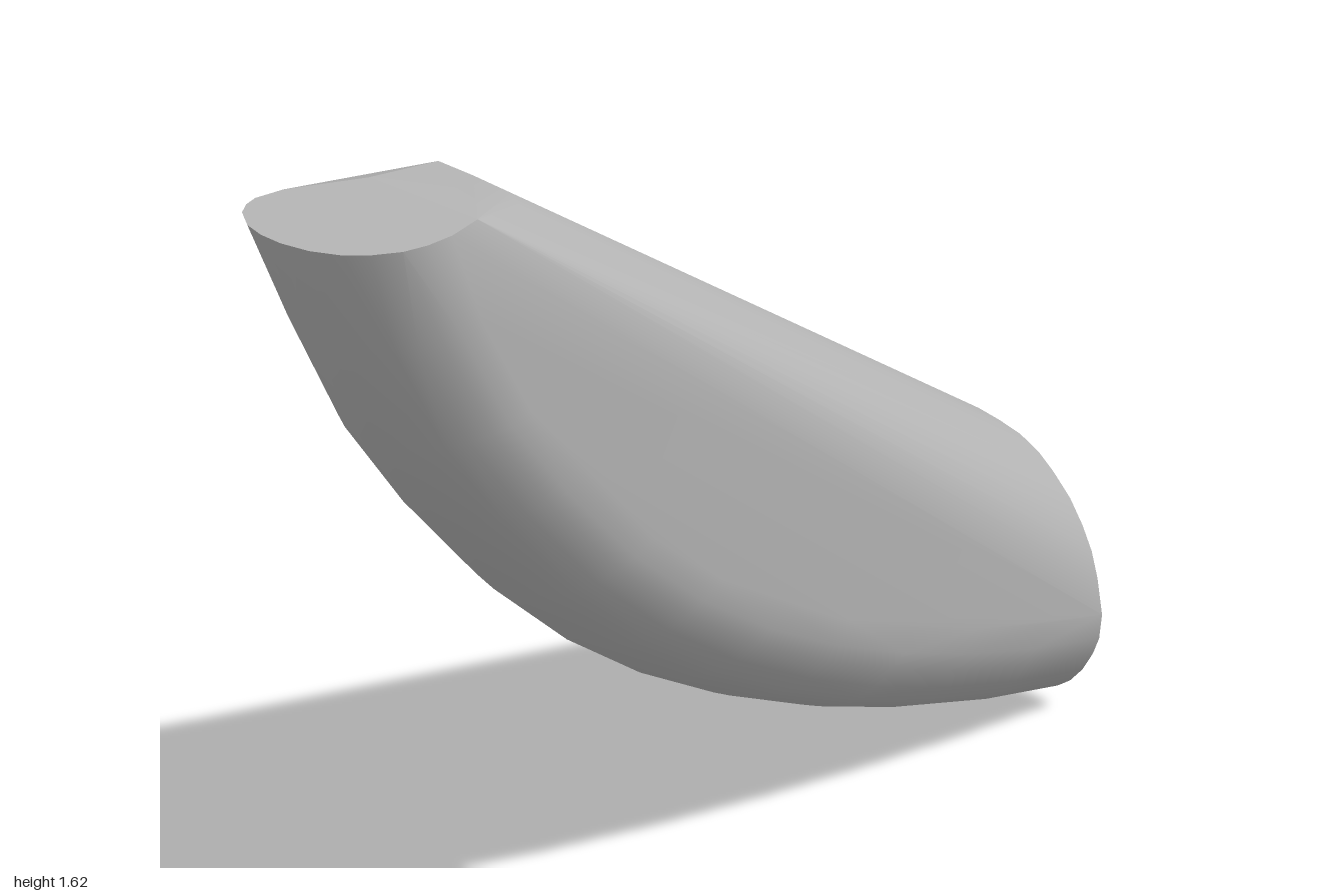
import * as THREE from 'three';
import { ConvexGeometry } from 'three/addons/geometries/ConvexGeometry.js';
import { toCreasedNormals } from 'three/addons/utils/BufferGeometryUtils.js';

// Flat end at x = 1, as [z, y]
const endProfile = [
  [-0.197, 0.535], [-0.1, 0.53], [-0.05, 0.522], [0, 0.51], [0.045, 0.488], [0.08, 0.46],
  [0.12, 0.42], [0.15, 0.375], [0.172, 0.33], [0.186, 0.28], [0.197, 0.21], [0.19, 0.16],
  [0.175, 0.125], [0.15, 0.085], [0.12, 0.053], [0.09, 0.033], [0.04, 0.014], [0, 0.005],
  [-0.05, 0], [-0.09, 0.016], [-0.13, 0.037], [-0.15, 0.06], [-0.17, 0.125], [-0.197, 0.33],
];

// Flat tip at y = 1.62, as [x, z]
const tipProfile = [
  [-1, -0.02], [-0.997, -0.07], [-0.983, -0.115], [-0.95, -0.157], [-0.92, -0.173], [-0.89, -0.178],
  [-0.83, -0.163], [-0.69, -0.08], [-0.69, 0.182], [-0.77, 0.192], [-0.83, 0.186], [-0.88, 0.17],
  [-0.93, 0.135], [-0.965, 0.095], [-0.99, 0.04],
];

// Upper rim where the long face meets the sloped tip facet, as [x, z] at y = 1.505
const rim = [[-0.38, -0.186], [-0.383, -0.1], [-0.395, 0], [-0.42, 0.045]];

// Curved underside from tip to end, as [x, y]
const keel = [
  [-0.9, 1.385], [-0.76, 1.13], [-0.6, 0.92], [-0.4, 0.7], [-0.2, 0.525],
  [0, 0.385], [0.2, 0.272], [0.4, 0.18], [0.6, 0.105], [0.8, 0.045],
];

// Rounded cross-section along the underside, as [depth, z]
const section = [
  [0, -0.035], [0.005, 0], [0.014, 0.04], [0.033, 0.09], [0.053, 0.12], [0.085, 0.15],
  [0.125, 0.175], [0.16, 0.19], [0.21, 0.197],
  [0.016, -0.09], [0.037, -0.13], [0.06, -0.15], [0.125, -0.17], [0.33, -0.197],
];

export function createModel() {
  const group = new THREE.Group();
  const points = [];
  const add = (x, y, z) => points.push(new THREE.Vector3(x, y, z));

  endProfile.forEach(([z, y]) => add(1, y, z));
  tipProfile.forEach(([x, z]) => add(x, 1.62, z));
  rim.forEach(([x, z]) => add(x, 1.505, z));

  // Sections turn from horizontal at the tip to vertical at the end
  keel.forEach(([x, y], i) => {
    const t = (i + 1) / (keel.length + 1);
    const angle = t * Math.PI / 2;
    const back = Math.min(1, 0.93 + 0.12 * t);
    section.forEach(([d, z]) => {
      add(x + d * Math.cos(angle), y + d * Math.sin(angle), z < -0.1 ? z * back : z);
    });
  });

  const gray = new THREE.MeshStandardMaterial({ color: 0xb4b4b4 });
  gray.name = 'gray';
  const body = new THREE.Mesh(toCreasedNormals(new ConvexGeometry(points), 0.3), gray);
  body.name = 'curvedBody';
  group.add(body);
  return group;
}
